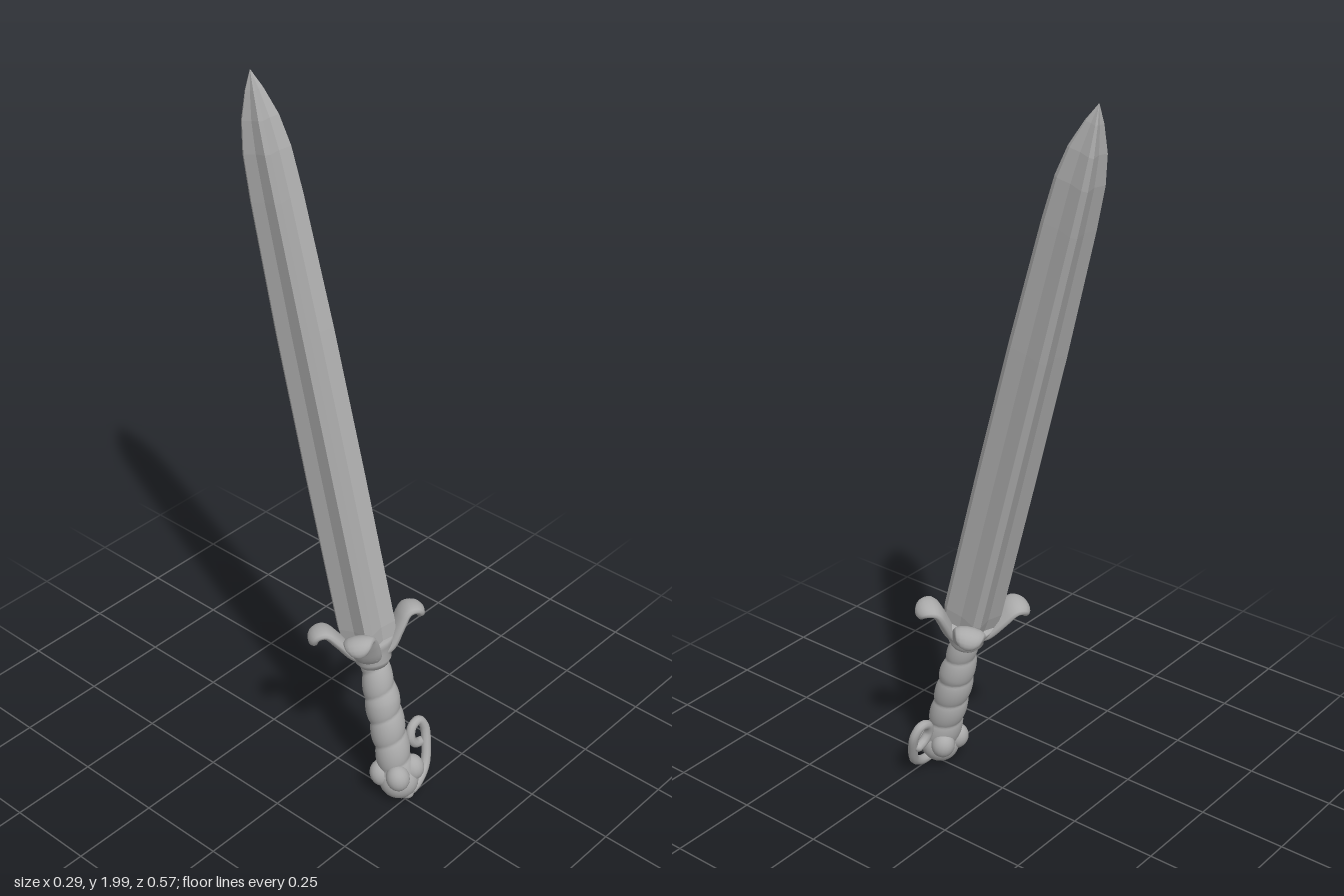
import * as THREE from 'three';

// Joins rings of equal point count into a closed skin; flat gives hard facets.
function loft(rings, flat = false) {
  const n = rings[0].length, pos = [], idx = [];
  rings.forEach(r => r.forEach(p => pos.push(...p)));
  for (let i = 0; i < rings.length - 1; i++) {
    for (let j = 0; j < n; j++) {
      const a = i * n + j, b = i * n + (j + 1) % n, c = a + n, d = b + n;
      idx.push(a, c, b, b, c, d);
    }
  }
  let g = new THREE.BufferGeometry();
  g.setAttribute('position', new THREE.Float32BufferAttribute(pos, 3));
  g.setIndex(idx);
  if (flat) g = g.toNonIndexed();
  g.computeVertexNormals();
  return g;
}

// Ring of points around the y axis with a radius rule.
function ring(y, radius, n = 28) {
  return Array.from({ length: n }, (_, j) => {
    const a = j / n * Math.PI * 2, r = radius(a);
    return [Math.cos(a) * r, y, Math.sin(a) * r];
  });
}

// Petal swept outward along x, curling over at the tip.
function petalGeometry() {
  const curve = new THREE.CatmullRomCurve3([[0.015, 0.465], [0.05, 0.485], [0.085, 0.535],
    [0.115, 0.572], [0.142, 0.568], [0.152, 0.54]].map(([x, y]) => new THREE.Vector3(x, y, 0)));
  const rings = [], steps = 20, n = 14;
  for (let i = 0; i <= steps; i++) {
    const t = i / steps, p = curve.getPoint(t), d = curve.getTangent(t);
    const close = i === 0 || i === steps ? 0.02 : Math.min(1, 0.6 + (steps - i) * 0.15);
    const w = (0.024 + 0.02 * Math.sin(Math.PI * t)) * close;
    const h = (0.018 - 0.003 * t) * close;
    rings.push(Array.from({ length: n }, (_, j) => {
      const a = j / n * Math.PI * 2, v = Math.sin(a) * h, s = Math.cos(a) * w;
      return [p.x - d.y * v, p.y + d.x * v, s];
    }));
  }
  return loft(rings);
}

export function createModel() {
  const steel = new THREE.MeshStandardMaterial({ color: 0xaaaaaa });
  steel.name = 'grey steel';
  const model = new THREE.Group();
  model.name = 'sword';

  // The whole sword leans back about its pommel.
  const sword = new THREE.Group();
  sword.name = 'leaningSword';
  sword.position.z = 0.243;
  sword.rotation.x = -0.256;
  model.add(sword);
  const add = (name, geometry, parent = sword) => {
    const m = new THREE.Mesh(geometry, steel);
    m.name = name;
    parent.add(m);
    return m;
  };

  // Blade: thick section with clipped corners and a shallow groove on each face.
  const quarter = [[0.048, 0], [0.055, 0.046], [0.044, 0.062], [0, 0.053],
    [-0.044, 0.062], [-0.055, 0.046]];
  const section = [...quarter, ...quarter.map(([x, z]) => [-x, -z])];
  const stations = [[0.48, 0.9], [0.56, 1.03], [1.0, 1.02], [1.4, 0.98], [1.75, 0.88],
    [1.87, 0.8], [1.95, 0.62], [2.02, 0.3], [2.066, 0.01]];
  add('blade', loft(stations.map(([y, s]) => section.map(([x, z]) => [x * s, y, z * s])), true));

  // Guard: four curling petals around a flared collar.
  const guard = new THREE.Group();
  guard.name = 'guard';
  sword.add(guard);
  const spread = 0.6;
  for (const angle of [spread, -spread, Math.PI - spread, Math.PI + spread]) {
    add('guardPetal', petalGeometry(), guard).rotation.y = angle;
  }
  const collar = [[0, 0.435], [0.038, 0.437], [0.05, 0.455], [0.048, 0.475], [0.062, 0.5], [0.066, 0.518], [0, 0.525]];
  add('collar', new THREE.LatheGeometry(collar.map(([x, y]) => new THREE.Vector2(x, y)), 28), guard);

  // Grip: overlapping slanted wraps.
  const grip = [];
  for (let i = 0; i <= 60; i++) {
    const y = 0.1 + i / 60 * 0.36;
    grip.push(ring(y, a => {
      const turn = (y * 13 + a / (Math.PI * 2)) % 1;
      const wrap = 0.007 * Math.pow(Math.sin(Math.PI * turn), 0.6);
      return 0.043 + wrap - 0.012 * Math.max(0, (y - 0.33) / 0.13);
    }));
  }
  add('grip', loft(grip));

  // Pommel: rounded bulb with four blunt lobes.
  const pommel = new THREE.Group();
  pommel.name = 'pommel';
  sword.add(pommel);
  const bulb = add('pommelBulb', new THREE.SphereGeometry(0.055, 24, 16), pommel);
  bulb.position.y = 0.07;
  for (let k = 0; k < 4; k++) {
    const a = Math.PI / 4 + k * Math.PI / 2;
    const lobe = add('pommelLobe', new THREE.SphereGeometry(0.033, 18, 12), pommel);
    lobe.position.set(Math.cos(a) * 0.043, 0.098, Math.sin(a) * 0.043);
    lobe.scale.set(1, 1.15, 1);
  }

  // Tail: strand sweeping from the pommel into a small loop.
  const path = [[-0.02, 0.035], [0.02, 0.02], [0.06, 0.027], [0.1, 0.058], [0.122, 0.11], [0.131, 0.165],
    [0.115, 0.193], [0.087, 0.185], [0.077, 0.155], [0.092, 0.13], [0.115, 0.122]];
  const tail = new THREE.CatmullRomCurve3(path.map(([x, y], i) => new THREE.Vector3(x, y, 0.014 - i * 0.002)));
  add('tailLoop', new THREE.TubeGeometry(tail, 60, 0.0135, 10));
  const start = add('tailRoot', new THREE.SphereGeometry(0.02, 14, 10));
  start.position.set(0.01, 0.024, 0.012);
  const end = add('tailTip', new THREE.SphereGeometry(0.0135, 12, 8));
  end.position.copy(tail.getPoint(1));

  return model;
}
